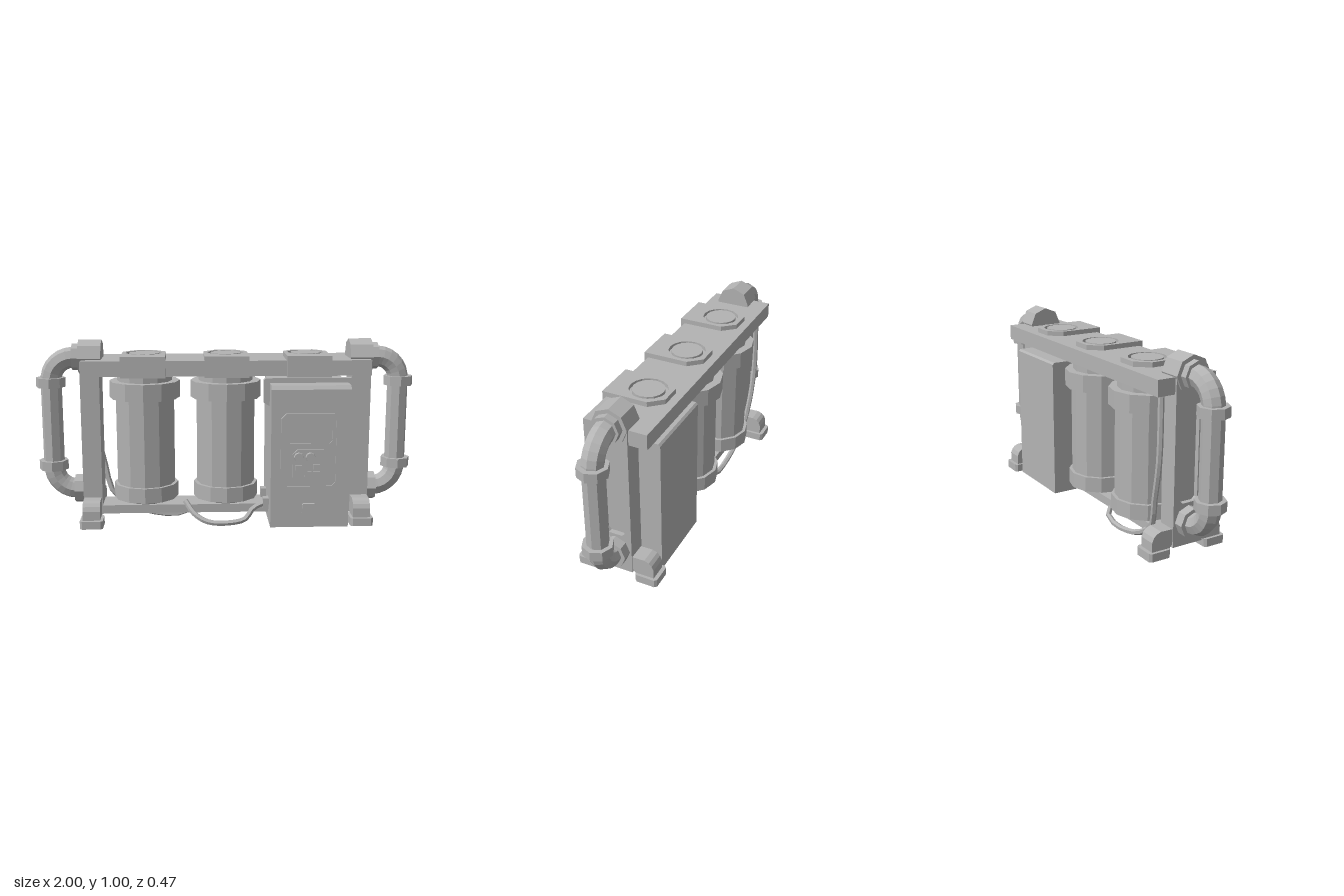
import * as THREE from 'three';

export function createModel() {
  const model = new THREE.Group();
  const grey = new THREE.MeshStandardMaterial({ color: 0xb3b3b3, flatShading: true });
  grey.name = 'plain grey';
  const AXIS_Z = -0.015; // centre plane of the frame and pipes
  const TANK_Z = -0.035;

  const add = (name, geo, x = 0, y = 0, z = 0) => {
    const mesh = new THREE.Mesh(geo, grey);
    mesh.name = name;
    mesh.position.set(x, y, z);
    model.add(mesh);
    return mesh;
  };
  // box given by its limits on each axis
  const box = (name, x0, x1, y0, y1, z0, z1) =>
    add(name, new THREE.BoxGeometry(Math.abs(x1 - x0), y1 - y0, z1 - z0), (x0 + x1) / 2, (y0 + y1) / 2, (z0 + z1) / 2);
  const poly = (pts) => new THREE.Shape(pts.map(([a, b]) => new THREE.Vector2(a, b)));
  const extrude = (shape, depth) => new THREE.ExtrudeGeometry(shape, { depth, bevelEnabled: false });
  // rectangle with cut corners
  const cutRect = (x0, x1, y0, y1, c) => [
    [x0 + c, y0], [x1 - c, y0], [x1, y0 + c], [x1, y1 - c],
    [x1 - c, y1], [x0 + c, y1], [x0, y1 - c], [x0, y0 + c]];
  const hole = (shape, pts) => {
    shape.holes.push(poly(pts));
    return shape;
  };
  // octagonal ring piece along x
  const fitting = (name, x0, x1, y, r) =>
    add(name, new THREE.CylinderGeometry(r, r, Math.abs(x1 - x0), 8).rotateZ(Math.PI / 2), (x0 + x1) / 2, y, AXIS_Z);
  const hose = (name, pts) => {
    const curve = new THREE.CatmullRomCurve3(pts.map((p) => new THREE.Vector3(...p)));
    add(name, new THREE.TubeGeometry(curve, 18, 0.015, 6));
  };

  // frame
  box('topBar', -0.75, 0.75, 0.825, 0.905, -0.195, 0.13);
  box('lowerRail', -0.68, 0.25, 0.08, 0.125, -0.1, 0.07);

  for (const s of [-1, 1]) {
    // side pillar: core with a raised rim around a recess on the outside
    box('pillarCore', s * 0.66, s * 0.735, 0.075, 0.9, -0.1, 0.07);
    const rim = hole(poly([[-0.1, 0.075], [0.07, 0.075], [0.07, 0.9], [-0.1, 0.9]]),
      cutRect(-0.065, 0.035, 0.29, 0.76, 0.015));
    const rimGeo = extrude(rim, 0.025).rotateY(-Math.PI / 2);
    add('pillarRim', rimGeo, s > 0 ? 0.76 : -0.735);

    // feet, curved outward to the front and the back
    for (const d of [-1, 1]) {
      const leg = poly([[0.08, 0.17], [0.08, 0.1], [0.1, 0.075], [0.2, 0.075], [0.2, 0.125],
        [0.19, 0.148], [0.175, 0.163], [0.15, 0.172]]);
      const legGeo = extrude(leg, 0.09).translate(0, 0, -0.045).rotateY(-d * Math.PI / 2);
      add('footArm', legGeo, s * 0.71, 0, AXIS_Z);
      const pad = extrude(poly(cutRect(-0.06, 0.06, -0.06, 0.06, 0.012)), 0.042).rotateX(-Math.PI / 2);
      add('footPad', pad, s * 0.71, 0.035, AXIS_Z + d * 0.16);
    }

    // handle pipe with rounded corners
    const P = (x, y) => new THREE.Vector3(s * x, y, AXIS_Z);
    const path = new THREE.CurvePath();
    const bend = (a, c, b) => path.add(new THREE.CubicBezierCurve3(a,
      a.clone().lerp(c, 0.55), b.clone().lerp(c, 0.55), b));
    path.add(new THREE.LineCurve3(P(0.72, 0.91), P(0.8, 0.91)));
    bend(P(0.8, 0.91), P(0.92, 0.91), P(0.92, 0.79));
    path.add(new THREE.LineCurve3(P(0.92, 0.79), P(0.92, 0.32)));
    bend(P(0.92, 0.32), P(0.92, 0.2), P(0.8, 0.2));
    path.add(new THREE.LineCurve3(P(0.8, 0.2), P(0.72, 0.2)));
    add('handlePipe', new THREE.TubeGeometry(path, 36, 0.055, 8));
    for (const y of [0.78, 0.335]) {
      add('pipeClamp', new THREE.CylinderGeometry(0.077, 0.077, 0.05, 8), s * 0.922, y, AXIS_Z);
    }
    fitting('upperPipeBlock', s * 0.65, s * 0.77, 0.912, 0.091);
    fitting('upperPipeCollar', s * 0.77, s * 0.805, 0.912, 0.07);
    fitting('lowerPipeCollar', s * 0.755, s * 0.81, 0.2, 0.076);
  }

  // filter heads on the top bar, each with a ringed cap
  for (const x of [-0.43, 0, 0.425]) {
    const head = poly([[-0.115, -0.15], [0.115, -0.15], [0.115, 0.085], [0.055, 0.152],
      [-0.055, 0.152], [-0.115, 0.085]]);
    const ring = (r) => Array.from({ length: 16 }, (_, i) =>
      [r * Math.cos(i * Math.PI / 8), 0.035 + r * Math.sin(i * Math.PI / 8)]);
    hole(head, ring(0.095));
    add('filterHead', extrude(head, 0.11).rotateX(-Math.PI / 2), x, 0.82, 0);
    add('capGroove', new THREE.CylinderGeometry(0.095, 0.095, 0.02, 16), x, 0.9, TANK_Z);
    add('headCap', new THREE.CylinderGeometry(0.08, 0.08, 0.03, 16), x, 0.915, TANK_Z);
  }

  // filter tanks
  const tankProfile = [[0, 0.118], [0.09, 0.118], [0.13, 0.15], [0.172, 0.15], [0.172, 0.23], [0.155, 0.23],
    [0.155, 0.695], [0.187, 0.695], [0.187, 0.785], [0.145, 0.785], [0.145, 0.83], [0, 0.83]]
    .map(([r, y]) => new THREE.Vector2(r, y));
  for (const x of [-0.43, 0]) add('filterTank', new THREE.LatheGeometry(tankProfile, 12), x, 0, TANK_Z);

  // control cabinet with cut top edges, and its mounting bracket
  const cabinet = poly([[-0.2, 0.035], [0.205, 0.035], [0.205, 0.765], [0.19, 0.785], [-0.19, 0.785], [-0.2, 0.775]]);
  add('controlCabinet', extrude(cabinet, 0.41).rotateY(-Math.PI / 2), 0.635);
  const bracket = poly([[0.195, 0.68], [0.23, 0.66], [0.62, 0.66], [0.66, 0.68], [0.66, 0.8], [0.65, 0.81],
    [0.205, 0.81], [0.195, 0.8]]);
  add('cabinetBracket', extrude(bracket, 0.035), 0, 0, 0.068);

  // control panel: frame, screen, keypad
  const frame = hole(poly(cutRect(0.275, 0.575, 0.245, 0.642, 0.025)), cutRect(0.29, 0.56, 0.26, 0.627, 0.02));
  add('panelFrame', extrude(frame, 0.014), 0, 0, 0.204);
  const face = hole(poly(cutRect(0.29, 0.56, 0.26, 0.627, 0.02)), cutRect(0.308, 0.542, 0.485, 0.59, 0.015));
  add('panelFace', extrude(face, 0.008), 0, 0, 0.204);
  add('keypad', extrude(poly(cutRect(0.335, 0.55, 0.285, 0.455, 0.025)), 0.012), 0, 0, 0.21);
  for (const x of [0.367, 0.427]) {
    add('knob', new THREE.CylinderGeometry(0.024, 0.026, 0.016, 8).rotateX(Math.PI / 2), x, 0.417, 0.229);
  }
  for (const [x, y] of [[0.367, 0.362], [0.415, 0.362], [0.46, 0.362], [0.415, 0.325], [0.46, 0.325]]) {
    box('button', x - 0.018, x + 0.018, y - 0.014, y + 0.014, 0.22, 0.23);
  }
  add('socket', extrude(poly(cutRect(0.39, 0.46, 0.11, 0.165, 0.005)), 0.018), 0, 0, 0.204);

  // hoses
  box('hosePlug', 0.195, 0.23, 0.105, 0.175, -0.1, -0.05);
  box('hosePlug', 0.195, 0.23, 0.105, 0.165, 0.06, 0.11);
  hose('rearHose', [[-0.7, 0.83, -0.14], [-0.7, 0.5, -0.145], [-0.66, 0.29, -0.14], [-0.62, 0.15, -0.125],
    [-0.5, 0.06, -0.12], [-0.3, 0.017, -0.115], [-0.2, 0.04, -0.11], [-0.185, 0.1, -0.08]]);
  hose('frontHose', [[-0.22, 0.14, 0.05], [-0.17, 0.08, 0.1], [-0.1, 0.045, 0.13], [0.02, 0.042, 0.14],
    [0.1, 0.06, 0.13], [0.14, 0.11, 0.11], [0.21, 0.137, 0.085]]);

  return model;
}
